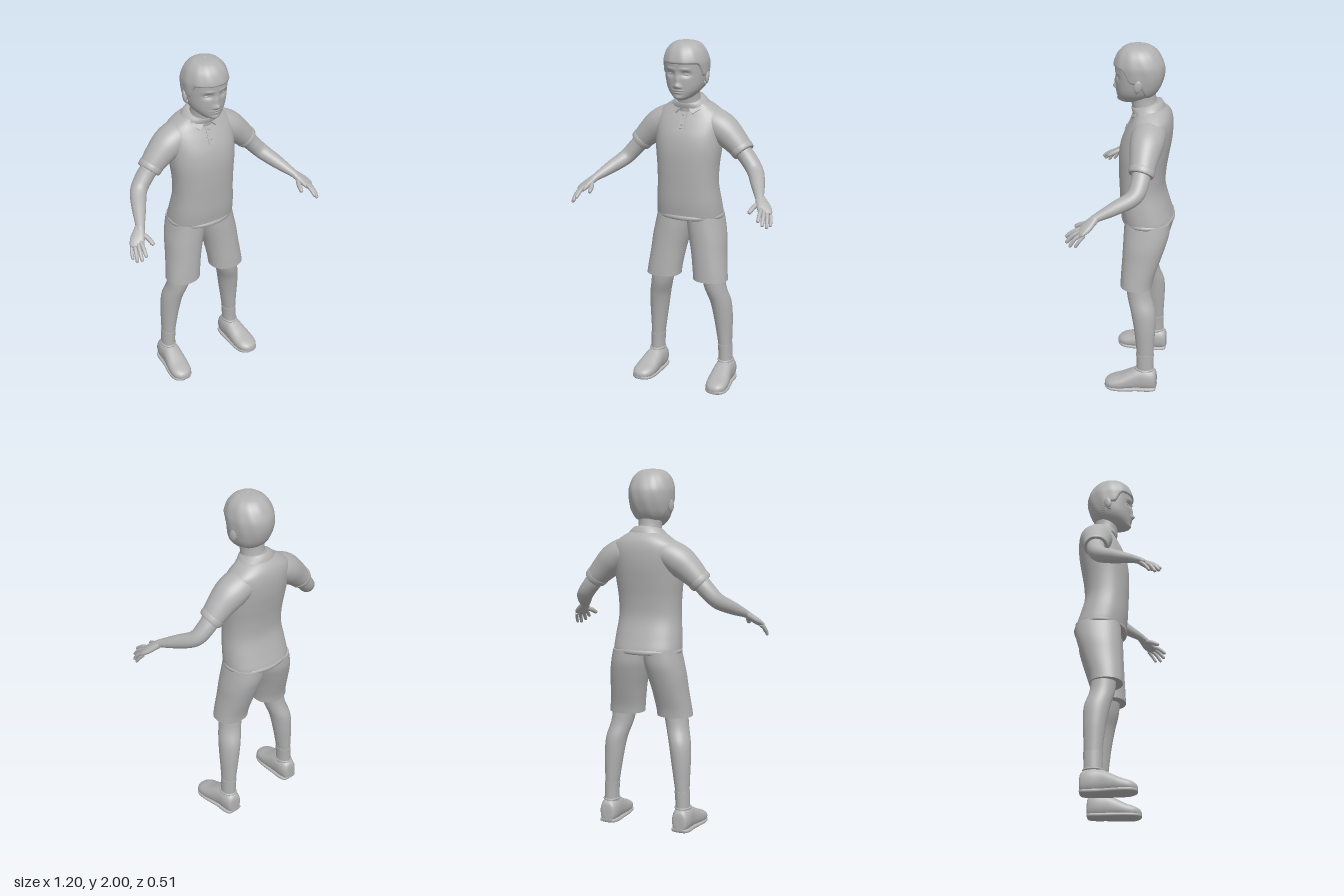
import * as THREE from 'three';

const V = (x, y, z) => new THREE.Vector3(x, y, z);
const clay = new THREE.MeshStandardMaterial({ color: 0xb2b2b2 });
clay.name = 'clay grey';

// Catmull-Rom resampling of rows of numbers
function sample(rows, n) {
  const last = rows.length - 1;
  return Array.from({ length: n + 1 }, (_, k) => {
    const f = (k / n) * last, i = Math.min(Math.floor(f), last - 1), t = f - i;
    const at = (j) => rows[Math.max(0, Math.min(last, j))];
    return rows[0].map((_, c) => {
      const [a, b, d, e] = [at(i - 1)[c], at(i)[c], at(i + 1)[c], at(i + 2)[c]];
      return b + 0.5 * t * (d - a + t * (2 * a - 5 * b + 4 * d - e + t * (3 * (b - d) + e - a)));
    });
  });
}

// Skin over superellipse stations {c, u, v}; optional rule moves each vertex
function loft(stations, { seg = 36, p = 2, rule } = {}) {
  const pos = [], idx = [], n = stations.length;
  const along = stations[n - 1].c.clone().sub(stations[0].c);
  const flip = stations[1].u.clone().cross(stations[1].v).dot(along) < 0 ? -1 : 1;
  const pw = (q) => Math.sign(q) * Math.abs(q) ** (2 / p);
  for (const { c, u, v } of stations) {
    for (let j = 0; j < seg; j++) {
      const a = (j / seg) * Math.PI * 2;
      const q = c.clone().addScaledVector(u, pw(Math.cos(a))).addScaledVector(v, flip * pw(Math.sin(a)));
      if (rule) rule(q, a);
      pos.push(q.x, q.y, q.z);
    }
  }
  for (let i = 0; i < n - 1; i++) {
    for (let j = 0; j < seg; j++) {
      const a = i * seg + j, b = i * seg + ((j + 1) % seg);
      idx.push(a, b, a + seg, b, b + seg, a + seg);
    }
  }
  // separate cap vertices keep the rims crisp
  for (const i of [0, n - 1]) {
    const base = pos.length / 3, c = stations[i].c;
    pos.push(...pos.slice(i * seg * 3, (i + 1) * seg * 3), c.x, c.y, c.z);
    for (let j = 0; j < seg; j++) {
      const a = base + j, b = base + ((j + 1) % seg);
      idx.push(base + seg, ...(i ? [a, b] : [b, a]));
    }
  }
  const g = new THREE.BufferGeometry();
  g.setAttribute('position', new THREE.Float32BufferAttribute(pos, 3));
  g.setIndex(idx);
  g.computeVertexNormals();
  return g;
}

// Horizontal slices: [y, centreX, halfWidth, zFront, zBack]
const slices = (rows, n, s = 1, grow = 0) => sample(rows, n).map(([y, cx, w, f, b]) => ({
  c: V(s * cx, y, (f + b) / 2), u: V(w + grow, 0, 0), v: V(0, 0, (f - b) / 2 + grow) }));

// Limb along a path: [x, y, z, sidewaysRadius, uprightRadius]
function limb(rows, n, s = 1) {
  const r = sample(rows, n), c = r.map((q) => V(s * q[0], q[1], q[2]));
  return r.map((q, i) => {
    const t = c[Math.min(i + 1, n)].clone().sub(c[Math.max(i - 1, 0)]).normalize();
    const u = t.clone().cross(V(0, 1, 0)).normalize(), v = t.clone().cross(u);
    return { c: c[i], u: u.multiplyScalar(q[3]), v: v.multiplyScalar(q[4]) };
  });
}

const HEAD = [
  [1.684, 0, 0.02, 0.04, -0.03], [1.698, 0, 0.05, 0.062, -0.08], [1.73, 0, 0.084, 0.068, -0.125],
  [1.765, 0, 0.102, 0.071, -0.152], [1.81, 0, 0.111, 0.074, -0.17], [1.855, 0, 0.115, 0.077, -0.178],
  [1.9, 0, 0.114, 0.078, -0.174], [1.945, 0, 0.098, 0.06, -0.15], [1.975, 0, 0.07, 0.03, -0.118],
  [1.988, 0, 0.04, 0, -0.085], [1.992, 0, 0.006, -0.035, -0.045]];

// Face relief: [x, y, spreadX, spreadY, depth]
const FACE = [
  [0, 1.795, 0.012, 0.03, 0.011], [0, 1.766, 0.015, 0.013, 0.018], [0.016, 1.76, 0.008, 0.008, 0.006],
  [0.045, 1.83, 0.024, 0.015, -0.014], [0.042, 1.857, 0.028, 0.008, 0.005], [0, 1.741, 0.026, 0.005, 0.007],
  [0, 1.728, 0.022, 0.005, 0.007], [0, 1.7, 0.025, 0.012, 0.006]];
function faceRule(q) {
  if (q.z < 0) return;
  const { x, y } = q;
  for (const [fx, fy, sx, sy, d] of FACE) {
    q.z += d * Math.exp(-(((Math.abs(x) - fx) / sx) ** 2) - ((y - fy) / sy) ** 2);
  }
}

// Hair tucks under the skin below a hairline that drops from fringe to nape
function hairRule(q, a) {
  const ss = THREE.MathUtils.smoothstep;
  const line = 1.888 - 0.07 * ss(-q.z, -0.035, 0.02) - 0.095 * ss(-q.z, 0.06, 0.11);
  const k = 0.87 + 0.13 * ss(q.y, line - 0.012, line + 0.004);
  const wave = 1 + 0.008 * Math.sin(a * 11 + q.y * 25);
  q.x *= k * wave;
  q.z = (q.z + 0.05) * k * wave - 0.05;
  q.y += 0.008 * ss(q.y, 1.9, 1.99);
}

export function createModel() {
  const model = new THREE.Group();
  const add = (name, geo, x = 0, y = 0, z = 0) => {
    const m = new THREE.Mesh(geo, clay);
    m.name = name;
    m.position.set(x, y, z);
    model.add(m);
    return m;
  };
  const ball = (name, x, y, z, sx, sy, sz) => {
    const m = add(name, new THREE.SphereGeometry(1, 20, 14), x, y, z);
    m.scale.set(sx, sy, sz);
    return m;
  };

  // Head, hair and neck
  add('head', loft(slices(HEAD, 100), { seg: 96, p: 2.1, rule: faceRule }));
  add('hair', loft(slices(HEAD.slice(1), 100, 1, 0.008), { seg: 96, p: 2.1, rule: hairRule }));
  add('neck', loft(slices([[1.58, 0, 0.08, -0.02, -0.17], [1.66, 0, 0.066, -0.012, -0.15],
    [1.72, 0, 0.064, 0, -0.14], [1.79, 0, 0.07, 0, -0.14]], 12)));

  // Shirt body with rolled hem
  add('shirtBody', loft(slices([
    [1.005, 0, 0.188, 0.035, -0.243], [1.03, 0, 0.192, 0.039, -0.243], [1.1, 0, 0.187, 0.048, -0.222],
    [1.2, 0, 0.177, 0.053, -0.196], [1.3, 0, 0.179, 0.057, -0.2], [1.4, 0, 0.189, 0.056, -0.216],
    [1.48, 0, 0.193, 0.042, -0.229], [1.55, 0, 0.196, 0.012, -0.233], [1.6, 0, 0.182, -0.015, -0.228],
    [1.635, 0, 0.14, -0.03, -0.215], [1.662, 0, 0.095, -0.03, -0.19], [1.67, 0, 0.07, -0.035, -0.165]], 60),
  { seg: 56, p: 2.3 }));
  const ringHem = new THREE.TorusGeometry(1, 0.055, 8, 64).rotateX(Math.PI / 2);
  add('shirtHem', ringHem, 0, 1.016, -0.104).scale.set(0.188, 0.24, 0.142);

  // Collar band, collar flaps, placket and buttons
  add('collar', loft([[1.632, 0.118, 0.088, -0.108, 0.012], [1.655, 0.106, 0.087, -0.1, 0.018],
    [1.677, 0.084, 0.083, -0.091, 0.022], [1.678, 0.07, 0.073, -0.086, 0.02]].map(([y, w, d, z, tilt]) => (
    { c: V(0, y, z), u: V(w, 0, 0), v: V(0, tilt, -d) })), { seg: 48 }));
  for (const s of [1, -1]) {
    const flap = new THREE.Shape([[0.003, 0.015], [0.05, -0.03], [0.088, 0.005], [0.075, 0.035]]
      .map(([x, y]) => new THREE.Vector2(s * x, y)));
    add('collarFlap', new THREE.ExtrudeGeometry(flap, { depth: 0.008, bevelEnabled: false }), 0, 1.632, -0.021)
      .rotation.set(-0.55, s * 0.25, 0);
  }
  add('placket', new THREE.BoxGeometry(0.034, 0.1, 0.006), 0, 1.567, 0.003).rotation.x = -0.5;
  for (const [y, z] of [[1.595, -0.01], [1.545, 0.017]]) ball('button', 0, y, z, 0.008, 0.008, 0.005);

  for (const s of [1, -1]) {
    // Eyes and ears
    ball('eye', s * 0.045, 1.829, 0.044, 0.018, 0.009, 0.012);
    ball('ear', s * 0.116, 1.805, -0.06, 0.012, 0.036, 0.022).rotation.set(-0.2, s * 0.3, 0);
    ball('earLobe', s * 0.11, 1.776, -0.052, 0.009, 0.013, 0.012);

    // Sleeve and cuff
    add('sleeve', loft(limb([[0.08, 1.555, -0.125, 0.085, 0.08], [0.135, 1.545, -0.122, 0.092, 0.082],
      [0.195, 1.51, -0.118, 0.09, 0.085], [0.255, 1.46, -0.114, 0.077, 0.074],
      [0.318, 1.398, -0.11, 0.064, 0.058]], 24, s)));
    add('sleeveCuff', loft(limb([[0.296, 1.42, -0.112, 0.066, 0.061], [0.301, 1.415, -0.111, 0.071, 0.065],
      [0.316, 1.4, -0.11, 0.069, 0.063], [0.322, 1.394, -0.109, 0.064, 0.058]], 9, s)));

    // Arm and palm
    add('arm', loft(limb([[0.28, 1.435, -0.11, 0.05, 0.05], [0.345, 1.362, -0.107, 0.05, 0.047],
      [0.4, 1.3, -0.08, 0.046, 0.043], [0.45, 1.255, 0.01, 0.038, 0.036],
      [0.495, 1.215, 0.1, 0.025, 0.022], [0.51, 1.2, 0.12, 0.027, 0.02]], 36, s), { seg: 28 }));
    add('palm', loft(limb([[0.49, 1.22, 0.093, 0.022, 0.019], [0.515, 1.197, 0.122, 0.032, 0.019],
      [0.54, 1.173, 0.148, 0.039, 0.018], [0.558, 1.153, 0.172, 0.037, 0.013],
      [0.563, 1.147, 0.179, 0.026, 0.006]], 16, s), { seg: 28, p: 2.3 }));

    // Fingers and thumb: base, bend, tip
    for (const [name, a, b, c, r] of [
      ['thumb', [0.512, 1.193, 0.125], [0.49, 1.175, 0.168], [0.481, 1.155, 0.207], 0.013],
      ['indexFinger', [0.535, 1.17, 0.172], [0.54, 1.152, 0.212], [0.545, 1.125, 0.246], 0.011],
      ['middleFinger', [0.55, 1.162, 0.172], [0.56, 1.138, 0.21], [0.566, 1.104, 0.24], 0.011],
      ['ringFinger', [0.564, 1.153, 0.163], [0.577, 1.125, 0.197], [0.584, 1.09, 0.22], 0.0105],
      ['littleFinger', [0.575, 1.15, 0.146], [0.589, 1.12, 0.172], [0.594, 1.092, 0.19], 0.009]]) {
      const end = c.map((q, i) => q + (c[i] - b[i]) * 0.18);
      add(name, loft(limb([[...a, r, r], [...b, r, r], [...c, r * 0.85, r * 0.85],
        [...end, r * 0.15, r * 0.15]], 12, s), { seg: 14 }));
    }

    // Shorts leg
    add('shortsLeg', loft(slices([[0.645, 0.146, 0.1, 0.03, -0.15], [0.7, 0.14, 0.099, 0.028, -0.16],
      [0.8, 0.126, 0.1, 0.023, -0.192], [0.88, 0.113, 0.105, 0.02, -0.217],
      [0.95, 0.1, 0.105, 0.018, -0.235], [1.02, 0.09, 0.1, 0.015, -0.238]], 24, s), { p: 2.2 }));

    // Bare leg and sock
    add('leg', loft(slices([[0.1, 0.22, 0.036, -0.078, -0.165], [0.2, 0.218, 0.037, -0.076, -0.168],
      [0.3, 0.212, 0.045, -0.067, -0.173], [0.4, 0.205, 0.054, -0.054, -0.178],
      [0.5, 0.193, 0.06, -0.035, -0.175], [0.6, 0.167, 0.064, -0.01, -0.147],
      [0.75, 0.145, 0.075, 0, -0.14]], 36, s)));
    add('sock', loft(slices([[0.1, 0.22, 0.04, -0.073, -0.17], [0.17, 0.219, 0.04, -0.073, -0.171],
      [0.235, 0.216, 0.042, -0.07, -0.173]], 8, s)));

    // Shoe from sections heel to toe: [z, centreX, halfWidth, bottom, top]
    const shoe = [[-0.19, 0.222, 0.018, 0.03, 0.08], [-0.182, 0.222, 0.042, 0.008, 0.122],
      [-0.14, 0.222, 0.053, 0.001, 0.143], [-0.085, 0.223, 0.055, 0.001, 0.14],
      [-0.035, 0.227, 0.06, 0.001, 0.117], [0.02, 0.232, 0.064, 0.001, 0.089],
      [0.07, 0.235, 0.058, 0.003, 0.071], [0.1, 0.236, 0.036, 0.01, 0.055], [0.11, 0.236, 0.012, 0.02, 0.038]];
    const cut = (rows) => sample(rows, 40).map(([z, x, w, lo, hi]) => (
      { c: V(s * x, (lo + hi) / 2, z), u: V(w, 0, 0), v: V(0, (hi - lo) / 2, 0) }));
    add('shoe', loft(cut(shoe), { p: 2.3 }));
    add('shoeSole', loft(cut(shoe.map(([z, x, w, lo]) => [z, x, w + 0.003, lo * 0.6, 0.028])), { p: 3 }));
    add('shoeOpening', new THREE.TorusGeometry(0.043, 0.006, 8, 32).rotateX(Math.PI / 2), s * 0.221, 0.136, -0.12)
      .scale.set(0.95, 1, 1.15);
  }
  return model;
}
